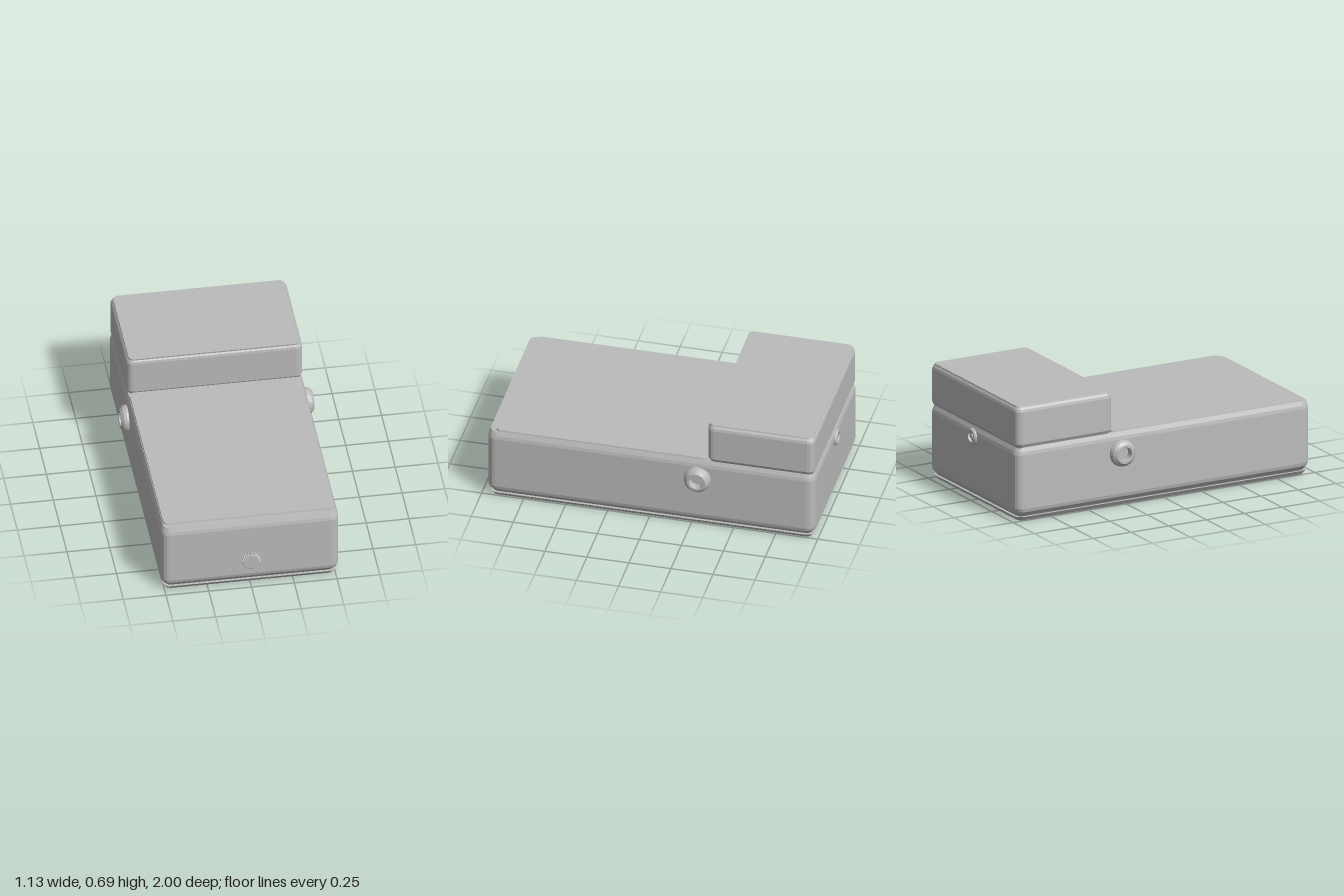
import * as THREE from 'three';

const grey = new THREE.MeshStandardMaterial({ color: 0xbbbbbb, flatShading: true });
grey.name = 'grey';

// Stack of rounded rectangles, bottom to top: [y, halfWidth, zBack, zFront, cornerRadius]
function loft(sections, seg = 4) {
  const pos = [], index = [];
  const n = 4 * (seg + 1);
  for (const [y, hw, z0, z1, r] of sections) {
    const corners = [[hw - r, z1 - r], [r - hw, z1 - r], [r - hw, z0 + r], [hw - r, z0 + r]];
    corners.forEach(([cx, cz], q) => {
      for (let k = 0; k <= seg; k++) {
        const a = (q + k / seg) * Math.PI / 2;
        pos.push(cx + r * Math.cos(a), y, cz + r * Math.sin(a));
      }
    });
  }
  const last = sections.length - 1;
  for (let j = 0; j < last; j++) {
    for (let i = 0; i < n; i++) {
      const a = j * n + i, b = j * n + (i + 1) % n;
      index.push(a, a + n, b, b, a + n, b + n);
    }
  }
  for (let i = 1; i < n - 1; i++) {
    index.push(0, i, i + 1);
    index.push(last * n, last * n + i + 1, last * n + i);
  }
  const g = new THREE.BufferGeometry();
  g.setAttribute('position', new THREE.Float32BufferAttribute(pos, 3));
  g.setIndex(index);
  g.computeVertexNormals();
  return g;
}

// Turned part: [radius, height] pairs, from the outer base to the inner floor
const turned = (points, seg) =>
  new THREE.LatheGeometry(points.map(([r, h]) => new THREE.Vector2(r, h)), seg);

export function createModel() {
  const model = new THREE.Group();
  model.name = 'pedal';
  const add = (name, geometry) => {
    const mesh = new THREE.Mesh(geometry, grey);
    mesh.name = name;
    model.add(mesh);
    return mesh;
  };

  // Base plate flaring outwards
  add('basePlate', loft([
    [0, 0.49, -0.955, 0.935, 0.03],
    [0.025, 0.508, -0.973, 0.953, 0.045],
  ]));

  // Main housing with chamfered lower and upper edges
  add('housing', loft([
    [0.02, 0.488, -0.953, 0.933, 0.03],
    [0.03, 0.495, -0.96, 0.94, 0.035],
    [0.055, 0.515, -0.98, 0.96, 0.05],
    [0.075, 0.52, -0.985, 0.966, 0.05],
    [0.4, 0.52, -0.985, 0.966, 0.05],
    [0.42, 0.516, -0.981, 0.962, 0.05],
    [0.445, 0.505, -0.97, 0.953, 0.04],
  ]));

  // Thin foot plate on the housing
  add('footPlate', loft([
    [0.44, 0.503, -0.35, 0.918, 0.03],
    [0.455, 0.5, -0.35, 0.915, 0.03],
  ]));

  // Raised rear block and its cover
  add('rearBlock', loft([
    [0.44, 0.503, -0.968, -0.357, 0.03],
    [0.465, 0.516, -0.981, -0.344, 0.04],
    [0.66, 0.516, -0.981, -0.344, 0.04],
    [0.675, 0.512, -0.977, -0.347, 0.04],
    [0.686, 0.503, -0.969, -0.355, 0.03],
  ]));
  add('rearCover', loft([
    [0.684, 0.503, -0.97, -0.352, 0.03],
    [0.694, 0.5, -0.967, -0.35, 0.03],
  ]));

  // Side sockets
  for (const side of [1, -1]) {
    const socket = add(side > 0 ? 'leftSocket' : 'rightSocket', turned([
      [0.08, 0], [0.08, 0.012], [0.074, 0.03], [0.056, 0.046],
      [0.042, 0.046], [0.04, 0.042], [0.04, 0.004], [0, 0.004],
    ], 24));
    socket.rotation.z = -side * Math.PI / 2;
    socket.position.set(side * 0.519, 0.32, -0.29);
  }

  // Power socket with a centre pin at the back
  const power = add('powerSocket', turned([
    [0.05, 0], [0.05, 0.008], [0.043, 0.016], [0.032, 0.016], [0.029, 0.003],
    [0.014, 0.003], [0.014, 0.012], [0, 0.012],
  ], 24));
  power.rotation.x = -Math.PI / 2;
  power.position.set(0, 0.385, -0.984);

  // Knurled thumbscrew at the front
  const outline = new THREE.Shape();
  const teeth = 20;
  for (let i = 0; i < teeth * 4; i++) {
    const a = i / (teeth * 4) * Math.PI * 2;
    const r = i % 4 < 2 ? 0.054 : 0.047;
    outline[i ? 'lineTo' : 'moveTo'](r * Math.cos(a), r * Math.sin(a));
  }
  outline.closePath();
  const screw = add('thumbscrew', new THREE.ExtrudeGeometry(outline, {
    depth: 0.034, bevelEnabled: true, bevelSegments: 1,
    bevelThickness: 0.003, bevelSize: 0.003, bevelOffset: -0.003,
  }));
  screw.position.set(0, 0.181, 0.963);

  return model;
}
